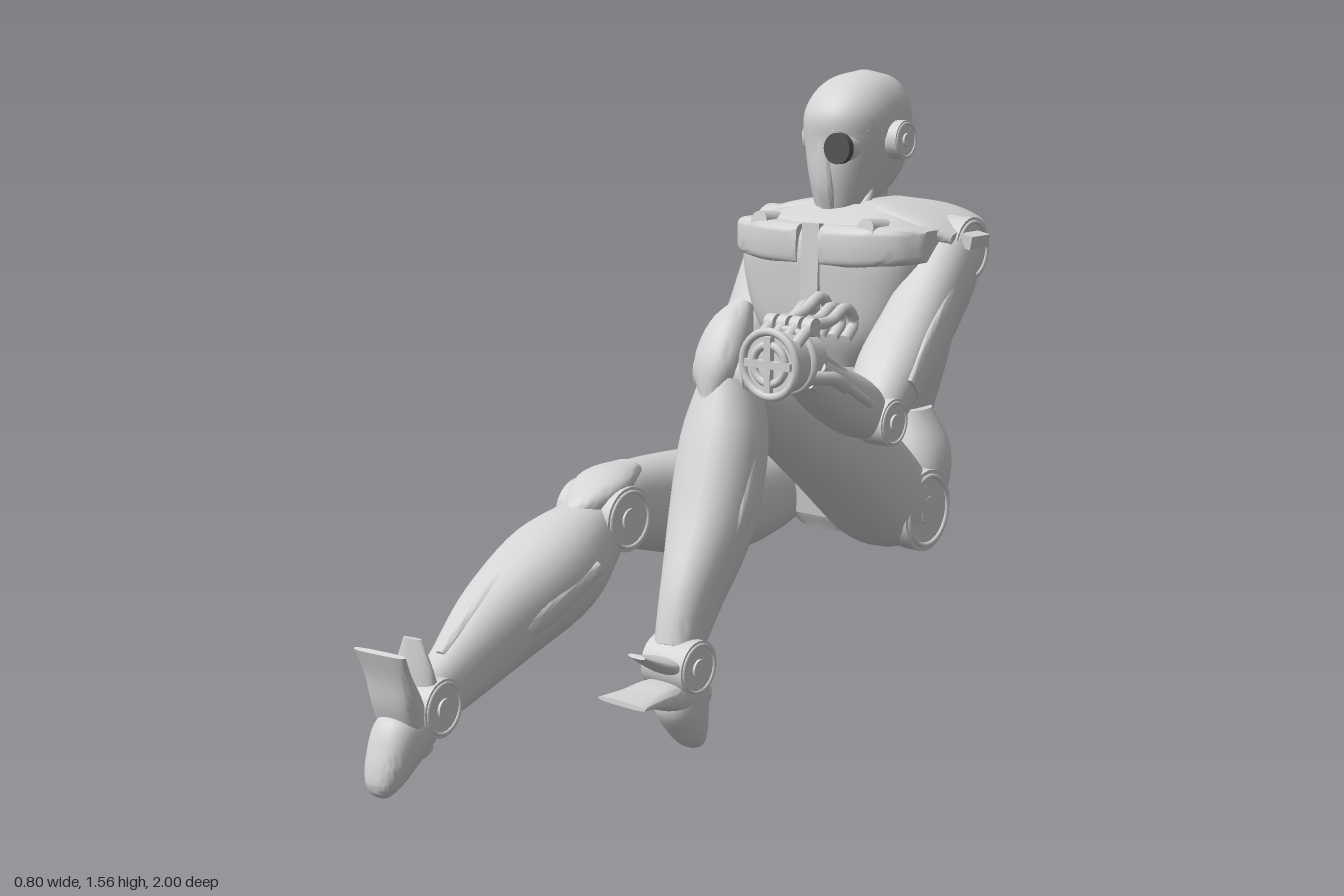
import * as THREE from 'three';
import { toCreasedNormals } from 'three/addons/utils/BufferGeometryUtils.js';

const V = (x, y, z) => new THREE.Vector3(x, y, z);

export function createModel() {
  const model = new THREE.Group();
  model.name = 'seatedRobot';
  const shell = new THREE.MeshStandardMaterial({ color: 0xd4d4d4, name: 'shell grey' });
  const dark = new THREE.MeshStandardMaterial({ color: 0x555555, name: 'lens grey' });

  const add = (name, geo, parent = model, mat = shell) => {
    const mesh = new THREE.Mesh(geo, mat);
    mesh.name = name;
    parent.add(mesh);
    return mesh;
  };

  // Smooth skin over rings [x, y, z, halfWidth, halfDepth]; power > 2 squares the section
  function loft(name, rings, { axis = null, power = 2.3, parent = model, seg = 28, steps = 5 } = {}) {
    const path = new THREE.CatmullRomCurve3(rings.map(r => V(r[0], r[1], r[2])), false, 'catmullrom', 0.5);
    const size = new THREE.CatmullRomCurve3(rings.map(r => V(r[3], r[4], 0)), false, 'catmullrom', 0.5);
    const n = (rings.length - 1) * steps, pos = [], idx = [];
    const sgnPow = v => Math.sign(v) * Math.pow(Math.abs(v), 2 / power);
    for (let i = 0; i <= n; i++) {
      const t = i / n, c = path.getPoint(t), s = size.getPoint(t);
      const T = axis ? axis.clone() : path.getTangent(t);
      const ref = Math.abs(T.x) > 0.8 ? V(0, 0, 1) : V(1, 0, 0);
      const side = ref.addScaledVector(T, -ref.dot(T)).normalize();
      const up = T.clone().cross(side);
      for (let j = 0; j < seg; j++) {
        const a = j / seg * Math.PI * 2;
        const p = c.clone().addScaledVector(side, Math.max(s.x, 0.002) * sgnPow(Math.cos(a)))
          .addScaledVector(up, Math.max(s.y, 0.002) * sgnPow(Math.sin(a)));
        pos.push(p.x, p.y, p.z);
      }
    }
    for (let i = 0; i < n; i++) for (let j = 0; j < seg; j++) {
      const a = i * seg + j, b = i * seg + (j + 1) % seg;
      idx.push(a, b, a + seg, b, b + seg, a + seg);
    }
    for (let j = 1; j < seg - 1; j++) {
      const e = n * seg;
      idx.push(0, j + 1, j, e, e + j, e + j + 1);
    }
    const g = new THREE.BufferGeometry();
    g.setAttribute('position', new THREE.Float32BufferAttribute(pos, 3));
    g.setIndex(idx);
    return add(name, toCreasedNormals(g, 0.9), parent);
  }

  // Cylinder between two points
  function rod(name, a, b, r, r2 = r, parent = model, mat = shell) {
    const d = b.clone().sub(a);
    const m = add(name, new THREE.CylinderGeometry(r2, r, d.length(), 24), parent, mat);
    m.position.copy(a).addScaledVector(d, 0.5);
    m.quaternion.setFromUnitVectors(V(0, 1, 0), d.normalize());
  }
  function box(name, w, h, d, x, y, z, rx = 0, rz = 0) {
    const m = add(name, new THREE.BoxGeometry(w, h, d));
    m.position.set(x, y, z);
    m.rotation.set(rx, 0, rz);
  }
  // Pivot disc facing sideways, with raised rim and hub
  function disc(name, x, y, z, r, half, parent = model) {
    rod(name, V(x - half, y, z), V(x + half, y, z), r, r, parent);
    for (const s of [-1, 1]) {
      const rim = add(name + 'Rim', new THREE.TorusGeometry(r * 0.85, r * 0.06, 8, 28), parent);
      rim.position.set(x + s * half, y, z);
      rim.rotation.y = Math.PI / 2;
      rod(name + 'Hub', V(x + s * half * 0.9, y, z), V(x + s * (half + 0.006), y, z), r * 0.35, r * 0.35, parent);
    }
  }
  const tube = (name, pts, r) =>
    add(name, new THREE.TubeGeometry(new THREE.CatmullRomCurve3(pts.map(p => V(...p))), 16, r, 8));

  const Y = V(0, 1, 0);

  // Head
  const hx = -0.055;
  loft('head', [[hx, 1.16, -0.7, 0.045, 0.04], [hx, 1.21, -0.735, 0.075, 0.09], [hx, 1.28, -0.775, 0.1, 0.145],
    [hx, 1.36, -0.79, 0.12, 0.163], [hx, 1.44, -0.79, 0.125, 0.166], [hx, 1.5, -0.8, 0.108, 0.138],
    [hx, 1.54, -0.81, 0.07, 0.088], [hx, 1.56, -0.815, 0.008, 0.01]], { axis: Y, seg: 36 });
  loft('browBand', [[hx, 1.385, -0.79, 0.125, 0.167], [hx, 1.405, -0.79, 0.126, 0.169]], { axis: Y, seg: 36 });
  loft('nosePlate', [[hx, 1.18, -0.68, 0.022, 0.03], [hx, 1.26, -0.66, 0.028, 0.035], [hx, 1.38, -0.65, 0.02, 0.03]], { axis: Y, power: 4 });
  rod('neck', V(hx, 1.12, -0.8), V(hx, 1.3, -0.8), 0.085, 0.075);
  for (const s of [-1, 1]) {
    disc('earDisc', hx + s * 0.13, 1.378, -0.794, 0.052, 0.022);
    tube('neckCable', [[hx + s * 0.06, 1.17, -0.68], [hx + s * 0.08, 1.22, -0.72], [hx + s * 0.07, 1.29, -0.76]], 0.012);
  }
  rod('eyeBarrel', V(0, 1.36, -0.7), V(0, 1.36, -0.62), 0.036);
  rod('eyeLens', V(0, 1.36, -0.63), V(0, 1.36, -0.61), 0.041, 0.041, model, dark);

  // Torso
  const cx = -0.03;
  loft('ribcage', [[cx, 0.79, -0.715, 0.15, 0.14], [cx, 0.88, -0.71, 0.23, 0.168], [cx, 1.0, -0.715, 0.275, 0.184],
    [cx, 1.1, -0.73, 0.285, 0.2], [cx, 1.16, -0.745, 0.26, 0.185], [cx, 1.21, -0.79, 0.15, 0.11]], { axis: Y, power: 3.4, seg: 40 });
  loft('belly', [[cx, 0.5, -0.7, 0.13, 0.12], [cx, 0.64, -0.71, 0.11, 0.1], [cx, 0.8, -0.73, 0.14, 0.11]], { axis: Y, power: 3 });
  for (let i = 0; i < 4; i++) box('bellySegment', 0.15 - i * 0.012, 0.035, 0.04, cx, 0.74 - i * 0.055, -0.605 - i * 0.003);
  box('sternum', 0.055, 0.34, 0.02, cx + 0.01, 1.0, -0.53, -0.03);
  tube('chestCable', [[cx, 0.98, -0.53], [cx - 0.05, 0.92, -0.542], [cx - 0.01, 0.87, -0.542], [cx - 0.01, 0.8, -0.572]], 0.008);
  for (const s of [-1, 1]) {
    loft('chestPlate', [[cx + s * 0.035, 1.11, -0.58, 0.058, 0.055], [cx + s * 0.15, 1.113, -0.587, 0.064, 0.055],
      [cx + s * 0.25, 1.118, -0.63, 0.07, 0.05], [cx + s * 0.3, 1.118, -0.66, 0.045, 0.04]],
      { axis: V(s, 0, 0), power: 5 });
    rod('collarJoint', V(cx + s * 0.17, 1.15, -0.62), V(cx + s * 0.17, 1.165, -0.54), 0.035, 0.026);
    tube('bellyPiston', [[cx + s * 0.1, 0.6, -0.6], [cx + s * 0.11, 0.72, -0.61], [cx + s * 0.1, 0.86, -0.62]], 0.016);
    // Shoulder cover and its tip
    loft('shoulderCover', [[cx + s * 0.06, 1.2, -0.8, 0.11, 0.024], [cx + s * 0.17, 1.185, -0.81, 0.155, 0.025],
      [cx + s * 0.27, 1.155, -0.81, 0.145, 0.027], [cx + s * 0.33, 1.13, -0.79, 0.09, 0.022]], { axis: V(s, 0, 0), power: 3 });
    box('shoulderTip', 0.07, 0.035, 0.09, cx + s * 0.335, 1.13, -0.78, 0, -s * 0.2);
    // Back plates
    loft('shoulderBlade', [[cx + s * 0.15, 0.82, -0.885, 0.06, 0.022], [cx + s * 0.18, 0.98, -0.92, 0.085, 0.028],
      [cx + s * 0.19, 1.12, -0.95, 0.095, 0.032]], { power: 4 });
    box('spineRail', 0.03, 0.5, 0.04, cx + s * 0.075, 0.85, -0.92, -0.2);
    loft('sideRib', [[cx + s * 0.15, 0.65, -0.775, 0.06, 0.09], [cx + s * 0.19, 0.82, -0.775, 0.065, 0.1],
      [cx + s * 0.22, 1.0, -0.78, 0.06, 0.11]], { axis: Y, power: 3 });
    for (let i = 0; i < 4; i++) box('backVent', 0.06, 0.012, 0.04, cx + s * 0.13, 1.12 + i * 0.016, -0.92);
  }
  loft('spinePlate', [[cx, 0.58, -0.86, 0.04, 0.022], [cx, 0.85, -0.912, 0.045, 0.03], [cx, 1.1, -0.965, 0.055, 0.033]], { power: 4 });

  // Pelvis with wide hip pads
  loft('pelvis', [[cx, 0.33, -0.69, 0.1, 0.08], [cx, 0.4, -0.69, 0.17, 0.11], [cx, 0.52, -0.71, 0.18, 0.12],
    [cx, 0.64, -0.73, 0.13, 0.11]], { axis: Y, power: 3 });
  box('pelvisFront', 0.11, 0.2, 0.06, cx, 0.48, -0.58, 0.15);
  for (const s of [-1, 1]) {
    loft('hipPad', [[cx + s * 0.18, 0.35, -0.71, 0.06, 0.06], [cx + s * 0.21, 0.44, -0.725, 0.09, 0.086],
      [cx + s * 0.21, 0.56, -0.745, 0.09, 0.09], [cx + s * 0.18, 0.67, -0.75, 0.06, 0.065]], { axis: Y });
    loft('hipGuard', [[cx + s * 0.06, 0.63, -0.55, 0.07, 0.055], [cx + s * 0.13, 0.645, -0.53, 0.085, 0.06],
      [cx + s * 0.22, 0.64, -0.56, 0.07, 0.055]], { axis: V(s, 0, 0), power: 4 });
  }
  loft('tailPlate', [[cx, 0.33, -0.73, 0.085, 0.05], [cx, 0.48, -0.77, 0.105, 0.06], [cx, 0.64, -0.8, 0.09, 0.055]], { axis: Y, power: 3 });

  // Left leg, knee raised
  loft('leftThigh', [[0.17, 0.41, -0.66, 0.11, 0.09], [0.18, 0.46, -0.57, 0.13, 0.13], [0.175, 0.63, -0.36, 0.13, 0.13],
    [0.14, 0.77, -0.17, 0.105, 0.108], [0.115, 0.86, -0.05, 0.078, 0.08]]);
  disc('leftHipDisc', 0.275, 0.43, -0.62, 0.108, 0.025);
  disc('leftKneeDisc', 0.115, 0.86, -0.03, 0.07, 0.075);
  loft('leftKneecap', [[0.11, 1.02, -0.07, 0.025, 0.02], [0.11, 0.96, -0.02, 0.055, 0.05], [0.11, 0.88, 0.03, 0.06, 0.05],
    [0.115, 0.8, 0.06, 0.025, 0.03]]);
  loft('leftShin', [[0.12, 0.84, -0.01, 0.07, 0.08], [0.13, 0.7, 0.03, 0.102, 0.102], [0.15, 0.52, 0.105, 0.098, 0.102],
    [0.168, 0.36, 0.205, 0.066, 0.082], [0.175, 0.25, 0.262, 0.052, 0.058]]);
  loft('leftShinRidge', [[0.125, 0.78, 0.07, 0.012, 0.03], [0.15, 0.54, 0.175, 0.028, 0.03], [0.173, 0.32, 0.265, 0.015, 0.03]]);
  loft('leftCalfPanel', [[0.215, 0.7, 0.03, 0.018, 0.02], [0.236, 0.56, 0.09, 0.016, 0.03], [0.22, 0.44, 0.16, 0.014, 0.015]]);

  // Right leg, stretched forward
  loft('rightThigh', [[-0.2, 0.43, -0.68, 0.1, 0.09], [-0.215, 0.43, -0.58, 0.135, 0.12], [-0.215, 0.43, -0.35, 0.148, 0.145],
    [-0.19, 0.475, -0.1, 0.12, 0.125], [-0.145, 0.515, 0.1, 0.085, 0.1], [-0.13, 0.52, 0.18, 0.07, 0.08]]);
  disc('rightHipDisc', -0.315, 0.43, -0.62, 0.1, 0.02);
  disc('rightKneeDisc', -0.125, 0.51, 0.18, 0.08, 0.085);
  loft('rightKneecap', [[-0.13, 0.61, 0.08, 0.04, 0.02], [-0.125, 0.59, 0.17, 0.075, 0.035], [-0.12, 0.56, 0.24, 0.06, 0.035],
    [-0.12, 0.52, 0.31, 0.015, 0.02]]);
  loft('rightShin', [[-0.125, 0.49, 0.2, 0.075, 0.085], [-0.122, 0.415, 0.36, 0.122, 0.12], [-0.118, 0.33, 0.55, 0.1, 0.108],
    [-0.092, 0.25, 0.73, 0.06, 0.078], [-0.08, 0.225, 0.82, 0.052, 0.062]]);
  loft('rightShinRidge', [[-0.122, 0.53, 0.28, 0.012, 0.025], [-0.115, 0.415, 0.56, 0.028, 0.03], [-0.087, 0.3, 0.76, 0.015, 0.025]]);
  loft('rightCalfPanel', [[-0.012, 0.43, 0.33, 0.018, 0.02], [-0.02, 0.36, 0.48, 0.016, 0.03], [-0.045, 0.3, 0.6, 0.014, 0.015]]);

  // Feet: toe plate, heel lobe, instep spike and ankle disc, tilted as one
  for (const [name, x, y, z, tilt, yaw] of [['leftFoot', 0.185, 0.22, 0.27, 0, 0], ['rightFoot', -0.077, 0.22, 0.835, -1.05, 0.14]]) {
    const foot = new THREE.Group();
    foot.name = name;
    foot.position.set(x, y, z);
    foot.rotation.set(tilt, yaw, 0, 'YXZ');
    model.add(foot);
    disc('ankleDisc', 0, 0, 0, 0.066, 0.06, foot);
    loft('toePlate', [[0, -0.08, -0.06, 0.05, 0.03], [0, -0.06, 0.06, 0.06, 0.033], [0, -0.048, 0.14, 0.062, 0.016],
      [0, -0.042, 0.203, 0.07, 0.006]], { power: 3, parent: foot });
    loft('heelLobe', [[0, -0.05, -0.01, 0.062, 0.06], [0, -0.11, -0.01, 0.058, 0.066], [0, -0.17, -0.03, 0.048, 0.046],
      [0, -0.208, -0.046, 0.03, 0.025], [0, -0.218, -0.05, 0.006, 0.006]], { axis: Y.clone().negate(), parent: foot });
    loft('instepSpike', [[0, 0, 0.03, 0.06, 0.025], [0, 0.025, 0.09, 0.05, 0.014], [0, 0.055, 0.15, 0.025, 0.005]], { parent: foot });
  }

  // Right arm, hanging
  loft('rightUpperArm', [[-0.3, 1.12, -0.8, 0.07, 0.075], [-0.295, 1.03, -0.75, 0.085, 0.09], [-0.295, 0.85, -0.65, 0.085, 0.087],
    [-0.32, 0.65, -0.56, 0.078, 0.077], [-0.345, 0.48, -0.51, 0.052, 0.062]]);
  loft('rightArmPanel', [[-0.37, 0.98, -0.72, 0.012, 0.04], [-0.377, 0.8, -0.63, 0.014, 0.05], [-0.392, 0.62, -0.55, 0.01, 0.035]]);
  disc('rightShoulderDisc', -0.32, 1.1, -0.8, 0.085, 0.035);
  disc('rightElbowDisc', -0.345, 0.49, -0.51, 0.06, 0.05);

  // Left arm, bent forward over the knee
  loft('leftUpperArm', [[0.23, 1.13, -0.84, 0.065, 0.07], [0.25, 1.07, -0.76, 0.08, 0.09], [0.265, 0.93, -0.6, 0.085, 0.085],
    [0.275, 0.82, -0.47, 0.092, 0.08], [0.295, 0.73, -0.37, 0.072, 0.064]]);
  loft('leftArmPanel', [[0.33, 1.0, -0.68, 0.012, 0.035], [0.35, 0.88, -0.54, 0.014, 0.045], [0.365, 0.79, -0.43, 0.01, 0.03]]);
  disc('leftShoulderDisc', 0.265, 1.1, -0.8, 0.085, 0.04);
  disc('leftElbowDisc', 0.3, 0.715, -0.35, 0.06, 0.065);
  loft('leftForearm', [[0.295, 0.71, -0.36, 0.05, 0.05], [0.295, 0.76, -0.27, 0.07, 0.073], [0.3, 0.83, -0.13, 0.062, 0.066],
    [0.31, 0.89, -0.03, 0.05, 0.05]]);
  for (let i = 0; i < 6; i++) {
    const a = i / 6 * Math.PI * 2, c = 0.065 * Math.cos(a), s = 0.05 * Math.sin(a);
    rod('forearmPiston', V(0.298 + c, 0.78 + s, -0.24), V(0.31 + c, 0.9 + s, -0.02), 0.011);
  }

  // Left hand: round palm drum with a cross, curled fingers and thumb
  rod('palmDrum', V(0.31, 0.91, -0.04), V(0.31, 0.915, 0.09), 0.068, 0.074);
  for (const [r, z] of [[0.076, 0.095], [0.045, 0.095], [0.072, 0.02]]) {
    const ring = add('palmRing', new THREE.TorusGeometry(r, 0.01, 8, 32));
    ring.position.set(0.31, 0.915, z);
  }
  box('palmCross', 0.13, 0.018, 0.02, 0.31, 0.915, 0.095);
  box('palmCross', 0.018, 0.13, 0.02, 0.31, 0.915, 0.095);
  for (let i = 0; i < 4; i++) {
    const x = 0.25 + i * 0.036, lift = i === 1 ? 0.02 : 0;
    tube('finger', [[x, 0.96, 0.06], [x, 0.995, 0], [x, 1.0 + lift, -0.08], [x, 1.025 + lift, -0.14],
      [x, 0.985 + lift, -0.175], [x, 0.95, -0.14]], 0.014);
    rod('knuckle', V(x - 0.013, 0.995, 0), V(x + 0.013, 0.995, 0), 0.022);
  }
  tube('thumb', [[0.37, 0.88, 0.02], [0.385, 0.87, -0.05], [0.375, 0.84, -0.12]], 0.017);
  return model;
}
